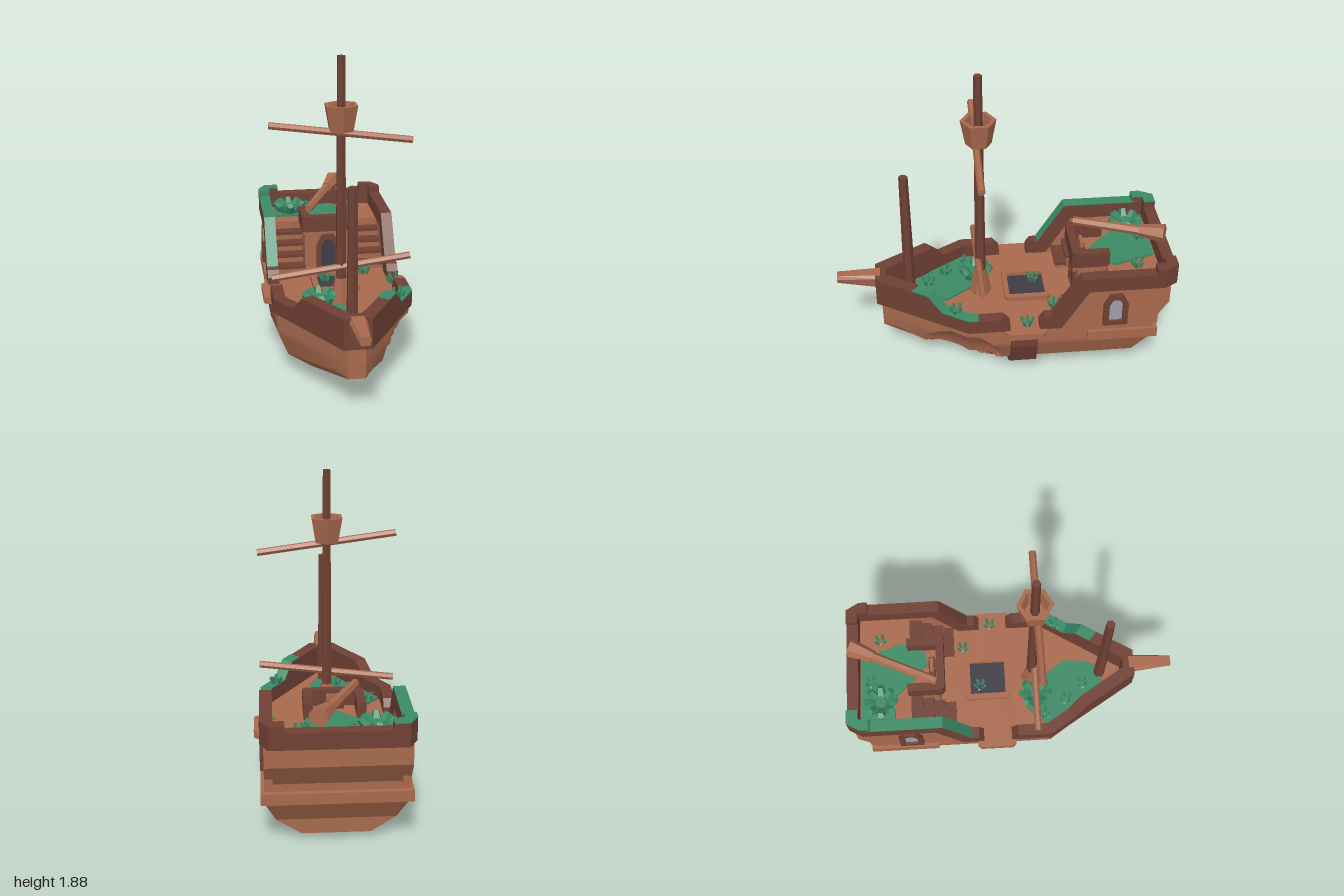
import * as THREE from 'three';
import { toCreasedNormals } from 'three/addons/utils/BufferGeometryUtils.js';

const mat = (name, color) => Object.assign(new THREE.MeshStandardMaterial({ color }), { name });

export function createModel() {
  const ship = new THREE.Group();
  ship.name = 'ship';
  const wood = mat('light wood', 0xa8694d);
  const dark = mat('dark wood', 0x6f4034);
  const green = mat('moss green', 0x3b8a65);
  const hollow = mat('dark hollow', 0x3e3c44);
  const glass = mat('window glass', 0x9f9da8);

  const add = (name, geo, material, parent = ship) => {
    const mesh = new THREE.Mesh(geo, material);
    mesh.name = name;
    parent.add(mesh);
    return mesh;
  };
  const flat = (geo) => {
    const g = geo.index ? geo.toNonIndexed() : geo;
    g.computeVertexNormals();
    return g;
  };
  const box = (x0, x1, y0, y1, z0, z1) =>
    new THREE.BoxGeometry(x1 - x0, y1 - y0, z1 - z0).translate((x0 + x1) / 2, (y0 + y1) / 2, (z0 + z1) / 2);

  // Skin a row of rings (counter-clockwise seen from the last one), closing both ends.
  const loft = (rings, crease = 0.3) => {
    const pos = [], n = rings[0].length;
    const quad = (a, b, c, d) => pos.push(...a, ...b, ...c, ...a, ...c, ...d);
    for (let i = 0; i < rings.length - 1; i++)
      for (let j = 0; j < n; j++) {
        const k = (j + 1) % n;
        quad(rings[i][j], rings[i][k], rings[i + 1][k], rings[i + 1][j]);
      }
    const s = rings[0], e = rings[rings.length - 1];
    for (let j = 0; j < n / 2 - 1; j++) {
      quad(s[j], s[n - 1 - j], s[n - 2 - j], s[j + 1]);
      quad(e[j], e[j + 1], e[n - 2 - j], e[n - 1 - j]);
    }
    const g = new THREE.BufferGeometry();
    g.setAttribute('position', new THREE.Float32BufferAttribute(pos, 3));
    return toCreasedNormals(g, crease);
  };
  // Mirror a geometry across x = 0, keeping faces outward.
  const mirror = (geo) => {
    const g = geo.index ? geo.toNonIndexed() : geo.clone();
    const p = g.attributes.position, v = [0, 1, 2].map(() => new THREE.Vector3());
    for (let i = 0; i < p.count; i += 3) {
      v.forEach((w, k) => w.fromBufferAttribute(p, i + k));
      [0, 2, 1].forEach((k, m) => p.setXYZ(i + m, -v[k].x, v[k].y, v[k].z));
    }
    return toCreasedNormals(g, 0.3);
  };
  const both = (name, geo, material) => {
    add(name + 'Left', geo, material);
    add(name + 'Right', mirror(geo), material);
  };
  const outline = (pts, hole) => {
    const s = new THREE.Shape(pts.map((p) => new THREE.Vector2(...p)));
    if (hole) s.holes.push(new THREE.Path(hole.map((p) => new THREE.Vector2(...p))));
    return s;
  };
  const extrude = (pts, depth, hole) =>
    new THREE.ExtrudeGeometry(outline(pts, hole), { depth, bevelEnabled: false });
  // Side profile [z, y] between x0 and x1; plan [x, z] between y0 and y1.
  const side = (pts, x0, x1, hole) => extrude(pts, x1 - x0, hole).rotateY(-Math.PI / 2).translate(x1, 0, 0);
  const plan = (pts, y0, y1, hole) => extrude(pts, y1 - y0, hole).rotateX(Math.PI / 2).translate(0, y1, 0);
  const arch = (w, y0, y1, c = 0) =>
    [[c - w, y0], [c + w, y0], [c + w, y1 - w], [c + w * 0.5, y1], [c - w * 0.5, y1], [c - w, y1 - w]];
  const rect = (x, z0, z1) => [[-x, z0], [x, z0], [x, z1], [-x, z1]];
  const rod = (name, a, b, ra, rb, sides, material) => {
    const p = new THREE.Vector3(...a), q = new THREE.Vector3(...b);
    const m = add(name, flat(new THREE.CylinderGeometry(rb, ra, p.distanceTo(q), sides)), material);
    m.position.copy(p).add(q).multiplyScalar(0.5);
    m.quaternion.setFromUnitVectors(new THREE.Vector3(0, 1, 0), q.sub(p).normalize());
    return m;
  };

  // Hull: half sections from keel to deck, with a smashed dent in the left bow
  const half = [[0.19, 0.04], [0.33, 0.13], [0.39, 0.28], [0.39, 0.4]];
  const keys = [
    half.map(([x, y], i) => [x, y, [-0.77, -0.77, -0.86, -0.87][i]]),
    half.map(([x, y]) => [x, y, 0]),
    half.map(([x, y]) => [x, y, 0.23]),
    [0.21, 0.23, 0.3, 0.4].map((y) => [0.05, y, 0.74]),
  ];
  const mix = (a, b, t) => a.map((v, i) => v + (b[i] - v) * t);
  const hullRings = [];
  const spans = [1, 8, 14];
  keys.slice(0, 3).forEach((key, i) => {
    for (let s = 0; s < spans[i] + (i === 2 ? 1 : 0); s++) {
      const sec = key.map((p, k) => mix(p, keys[i + 1][k], s / spans[i]));
      const fine = [];
      for (let k = 0; k < 3; k++) for (let u = 0; u < 5; u++) fine.push(mix(sec[k], sec[k + 1], u / 5));
      fine.push(sec[3]);
      const dented = fine.map(([x, y, z]) => {
        const d = ((z - 0.26) / 0.21) ** 2 + ((y - 0.18) / 0.165) ** 2;
        return d < 1 ? [x - 0.08 * Math.sqrt(1 - d), y, z - 0.02 * (1 - d)] : [x, y, z];
      });
      hullRings.push([...dented, ...fine.map(([x, y, z]) => [-x, y, z]).reverse()]);
    }
  });
  add('hull', loft(hullRings, 0.5), wood);

  // Band around the middle, gangway and stern ledge
  const band = [[0.22, 0], [0.35, 0.11], [0.41, 0.27], [0.41, 0.37]];
  add('hullBand', loft([-0.18, -0.02].map((z) =>
    [...band.map(([x, y]) => [x, y, z]), ...band.map(([x, y]) => [-x, y, z]).reverse()])), dark);
  add('gangway', plan([[-0.43, -0.23], [0.43, -0.23], [0.45, -0.21], [0.45, -0.01], [0.43, 0.01],
    [-0.43, 0.01], [-0.45, -0.01], [-0.45, -0.21]], 0.36, 0.403), wood);
  add('sternLedge', box(-0.41, 0.41, 0.29, 0.355, -0.9, -0.48), wood);

  // Stern castle
  add('sternCastle', side([[-0.87, 0.34], [-0.62, 0.34], [-0.62, 0.66], [-0.96, 0.66], [-0.96, 0.54],
    [-0.87, 0.4]], -0.39, 0.39), wood);
  both('sternWall', side([[-0.25, 0.38], [-0.45, 0.7], [-0.9, 0.7], [-0.9, 0.38]], 0.345, 0.39), wood);
  both('sternSideRail', side([[-0.19, 0.4], [-0.19, 0.445], [-0.22, 0.487], [-0.262, 0.487], [-0.43, 0.755],
    [-0.7, 0.755], [-0.7, 0.66], [-0.477, 0.66], [-0.32, 0.4]], 0.34, 0.41), dark);
  add('sternRail', plan([[0.41, -0.7], [0.34, -0.7], [0.34, -0.93], [-0.34, -0.93], [-0.34, -0.7],
    [-0.41, -0.7], [-0.41, -0.92], [-0.365, -1], [0.365, -1], [0.41, -0.92]], 0.66, 0.755), dark);
  const post = [[0.41, -0.87], [0.34, -0.87], [0.34, -0.93], [0.28, -0.93], [0.28, -1], [0.365, -1], [0.41, -0.92]];
  both('sternPost', plan(post, 0.755, 0.793), dark);
  add('postMoss', mirror(plan(post, 0.793, 0.798)), green);
  add('postMossFront', box(-0.41, -0.34, 0.757, 0.797, -0.872, -0.865), green);

  // Bow rail, swept along each side to the stem
  const railRing = (ox, oz, ix, iz, top, base = 0.4) =>
    [[ox, base, oz], [ox, top, oz], [ix, top, iz], [ix, base, iz]];
  const bowRing = (t, top, base) =>
    railRing(0.41 - 0.33 * t, 0.23 + 0.54 * t, 0.34 - 0.31 * t, 0.21 + 0.49 * t, top, base);
  both('bowRail', loft([railRing(0.41, -0.015, 0.34, -0.015, 0.445), railRing(0.41, 0.025, 0.34, 0.025, 0.49),
    bowRing(0, 0.49), bowRing(0.28, 0.49), bowRing(0.43, 0.583), bowRing(1, 0.583),
    railRing(0, 0.77, 0, 0.7, 0.583)], 0.1), dark);

  // Moss on the rails
  add('bowRailMoss', loft([railRing(0.41, 0.17, 0.34, 0.17, 0.495, 0.489), bowRing(0, 0.495, 0.489),
    bowRing(0.28, 0.495, 0.489), bowRing(0.43, 0.589, 0.582), bowRing(0.6, 0.589, 0.582)], 0.1), green);
  add('sternRailMoss', mirror(loft([[-0.92, 0.755], [-0.43, 0.755], [-0.262, 0.487]].map(([z, y]) =>
    railRing(0.41, z, 0.34, z, y + 0.007, y)), 0.1)), green);

  // Bowsprit
  const spritRing = (w, y0, z) => [[w * 0.7, y0, z], [w, 0.565, z], [w * 0.7, 0.585, z],
    [-w * 0.7, 0.585, z], [-w, 0.565, z], [-w * 0.7, y0, z]];
  add('bowsprit', loft([spritRing(0.053, 0.49, 0.74), spritRing(0.034, 0.535, 1)], 0.1), wood);

  // Cabin, balcony, door and stairs
  add('cabin', box(-0.15, 0.15, 0.4, 0.65, -0.63, -0.45), wood);
  add('balconyFloor', box(-0.16, 0.16, 0.635, 0.664, -0.63, -0.42), wood);
  add('balconyRail', plan([[-0.17, -0.635], [-0.12, -0.635], [-0.12, -0.457], [0.12, -0.457], [0.12, -0.635],
    [0.17, -0.635], [0.17, -0.43], [0.15, -0.41], [-0.15, -0.41], [-0.17, -0.43]], 0.655, 0.757), dark);
  add('balconyStand', box(-0.06, 0.06, 0.66, 0.71, -0.505, -0.465), dark);
  add('standTop', box(-0.04, 0.04, 0.71, 0.745, -0.495, -0.475), wood);
  add('doorFrame', extrude(arch(0.075, 0.4, 0.625), 0.025, arch(0.045, 0.405, 0.59)).translate(0, 0, -0.455), dark);
  add('door', extrude(arch(0.047, 0.4, 0.592), 0.008).translate(0, 0, -0.452), hollow);
  for (let i = 0; i < 4; i++) {
    const y = 0.45 + i * 0.054, z = -0.355 - i * 0.065;
    both('stepRiser' + i, box(0.165, 0.345, 0.4, y - 0.02, z - 0.075, z - 0.012), wood);
    both('stepTread' + i, box(0.155, 0.345, y - 0.02, y, z - 0.075, z), dark);
  }

  // Arched side windows
  both('windowFrame', side(arch(0.073, 0.4, 0.625, -0.64), 0.38, 0.412, arch(0.04, 0.43, 0.588, -0.64)), dark);
  both('windowPane', side(arch(0.042, 0.428, 0.59, -0.64), 0.39, 0.397), glass);

  // Deck hatch
  add('hatchFrame', plan([[-0.12, -0.29], [0.12, -0.29], [0.14, -0.27], [0.14, -0.03], [0.12, -0.01],
    [-0.12, -0.01], [-0.14, -0.03], [-0.14, -0.27]], 0.4, 0.432, rect(0.105, -0.26, -0.04)), wood);
  add('hatchHole', plan(rect(0.107, -0.262, -0.038), 0.4, 0.408), hollow);

  // Masts, yards and lookout
  rod('mainMast', [0, 0.4, 0.13], [0, 1.88, 0.13], 0.034, 0.024, 6, dark);
  rod('mastFoot', [0, 0.4, 0.13], [0, 0.56, 0.13], 0.068, 0.038, 6, wood);
  rod('foreMast', [0, 0.4, 0.565], [0, 1.255, 0.565], 0.036, 0.027, 6, dark);
  rod('upperYard', [-0.41, 1.5, 0.145], [0.41, 1.39, 0.145], 0.021, 0.021, 6, wood);
  rod('lowerYard', [-0.41, 0.583, 0.145], [0.41, 0.685, 0.145], 0.021, 0.021, 6, wood);
  const nest = [[0, 1.455], [0.075, 1.455], [0.103, 1.605], [0.078, 1.605], [0.062, 1.5], [0, 1.5]];
  add('lookout', flat(new THREE.LatheGeometry(nest.map((p) => new THREE.Vector2(...p)), 6)), wood)
    .position.z = 0.13;

  // Fallen spar resting on the stern
  rod('fallenSpar', [-0.125, 0.797, -0.455], [0.05, 0.817, -0.85], 0.025, 0.03, 6, wood);
  rod('fallenSparEnd', [0.042, 0.817, -0.83], [0.105, 0.828, -0.97], 0.036, 0.058, 6, wood);

  // Moss patches on the decks
  const moss = (name, pts, y) => add(name, plan(pts, y, y + 0.014), green);
  moss('bowMoss', [[-0.33, 0.22], [-0.22, 0.1], [-0.1, 0.07], [0, 0.21], [0.09, 0.34], [0.085, 0.47],
    [0.03, 0.59], [-0.06, 0.58], [-0.2, 0.42]], 0.4);
  moss('sternMoss', [[-0.31, -0.92], [0.09, -0.92], [0.13, -0.78], [0.17, -0.68], [0.11, -0.53], [0.03, -0.51],
    [-0.08, -0.61], [-0.18, -0.72], [-0.31, -0.72]], 0.66);

  // Leafy bushes: a core with a rosette of leaves
  [[-0.215, 0.66, -0.8], [-0.13, 0.4, 0.15]].forEach(([x, y, z]) => {
    const bush = new THREE.Group();
    bush.name = 'bush';
    bush.position.set(x, y, z);
    ship.add(bush);
    add('bushCore', flat(new THREE.CylinderGeometry(0.035, 0.06, 0.06, 7)), green, bush).position.y = 0.03;
    for (let i = 0; i < 8; i++) {
      const leaf = flat(new THREE.CylinderGeometry(0.022, 0.034, 0.07, 5));
      leaf.rotateX(0.7).translate(0, 0.05, 0.07).rotateY((i * Math.PI) / 4);
      add('leaf', leaf, green, bush);
    }
  });

  // Grass tufts
  [[-0.08, 0.66, -0.86], [0.19, 0.66, -0.8], [0.21, 0.4, -0.3], [0.36, 0.4, -0.12], [-0.05, 0.405, -0.2],
    [0.31, 0.485, 0.3], [-0.26, 0.4, 0.2], [-0.17, 0.4, 0.34], [-0.07, 0.4, 0.45]].forEach(([x, y, z]) => {
    for (let i = 0; i < 5; i++) {
      const a = i * 1.26 + x * 9, r = 0.03;
      rod('grassBlade', [x + r * 0.6 * Math.cos(a), y, z + r * 0.6 * Math.sin(a)],
        [x + r * 1.2 * Math.cos(a), y + 0.045 + 0.008 * (i % 3), z + r * 1.2 * Math.sin(a)], 0.01, 0.009, 4, green);
    }
  });
  return ship;
}
